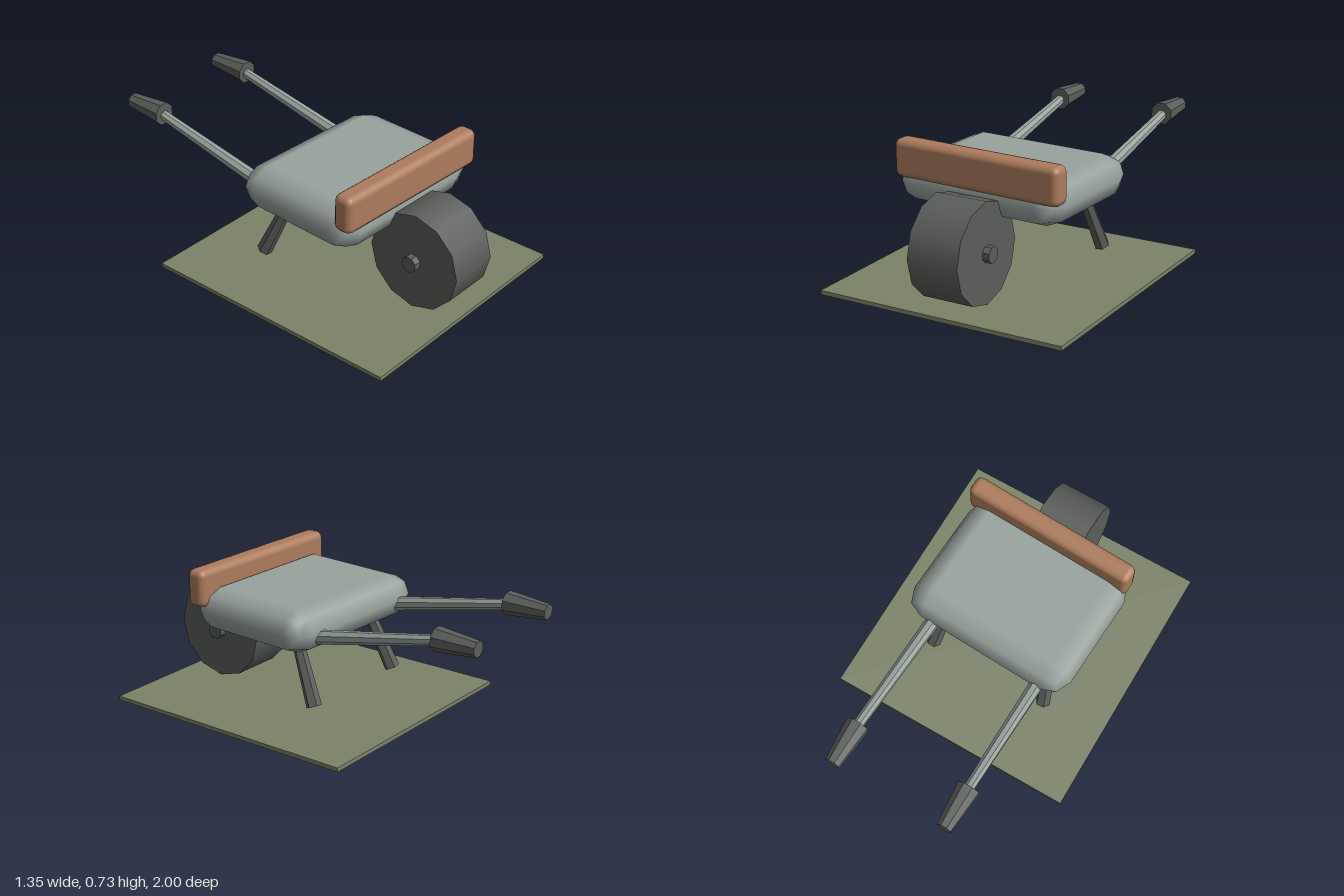
import * as THREE from 'three';
import { RoundedBoxGeometry } from 'three/addons/geometries/RoundedBoxGeometry.js';

function material(name, color, flatShading = false) {
  const m = new THREE.MeshStandardMaterial({ color, flatShading });
  m.name = name;
  return m;
}

export function createModel() {
  const group = new THREE.Group();
  const steel = material('steel grey', 0x98a29d);
  const rubber = material('dark rubber', 0x5b5e5a);
  const wood = material('brown wood', 0xad7c5d);
  const olive = material('olive ground', 0x7c8268);

  function add(name, geometry, mat, x, y, z) {
    const mesh = new THREE.Mesh(geometry, mat);
    mesh.name = name;
    mesh.position.set(x, y, z);
    group.add(mesh);
    return mesh;
  }

  // Faceted tapered bar between two points
  function bar(name, from, to, r0, r1, sides, mat) {
    const a = new THREE.Vector3(...from), b = new THREE.Vector3(...to);
    const dir = b.clone().sub(a);
    const indexed = new THREE.CylinderGeometry(r1, r0, dir.length(), sides);
    indexed.rotateY(Math.PI / sides);
    const geometry = indexed.toNonIndexed();
    geometry.computeVertexNormals();
    const mid = a.add(b).multiplyScalar(0.5);
    const mesh = add(name, geometry, mat, mid.x, mid.y, mid.z);
    mesh.quaternion.setFromUnitVectors(new THREE.Vector3(0, 1, 0), dir.normalize());
  }

  // Ground plate
  add('groundPlate', new THREE.BoxGeometry(1.35, 0.022, 1.44), olive, 0, 0.011, 0.255);

  // Tray and front board, both turned slightly
  const turn = -0.047;
  add('tray', new RoundedBoxGeometry(0.942, 0.23, 0.74, 1, 0.115), steel, 0, 0.515, 0.258).rotation.y = turn;
  add('frontBoard', new RoundedBoxGeometry(0.947, 0.197, 0.108, 2, 0.035), wood, 0, 0.636, 0.58).rotation.y = turn;

  // Wheel and axle
  const wheel = new THREE.CylinderGeometry(0.26, 0.26, 0.278, 12).rotateZ(Math.PI / 2);
  add('wheel', wheel, rubber, 0, 0.29, 0.74);
  bar('axle', [-0.177, 0.29, 0.74], [0.177, 0.29, 0.74], 0.043, 0.043, 8, rubber);

  // Legs, handles and grips on both sides
  for (const s of [-1, 1]) {
    bar('leg', [s * 0.335, 0.115, -0.058], [s * 0.29, 0.46, 0.092], 0.04, 0.03, 6, rubber);
    bar('handle', [s * 0.312, 0.475, -0.03], [s * 0.314, 0.634, -0.8], 0.038, 0.027, 8, steel);
    bar('grip', [s * 0.314, 0.637, -0.77], [s * 0.314, 0.637, -1], 0.062, 0.041, 8, rubber);
  }

  return group;
}
